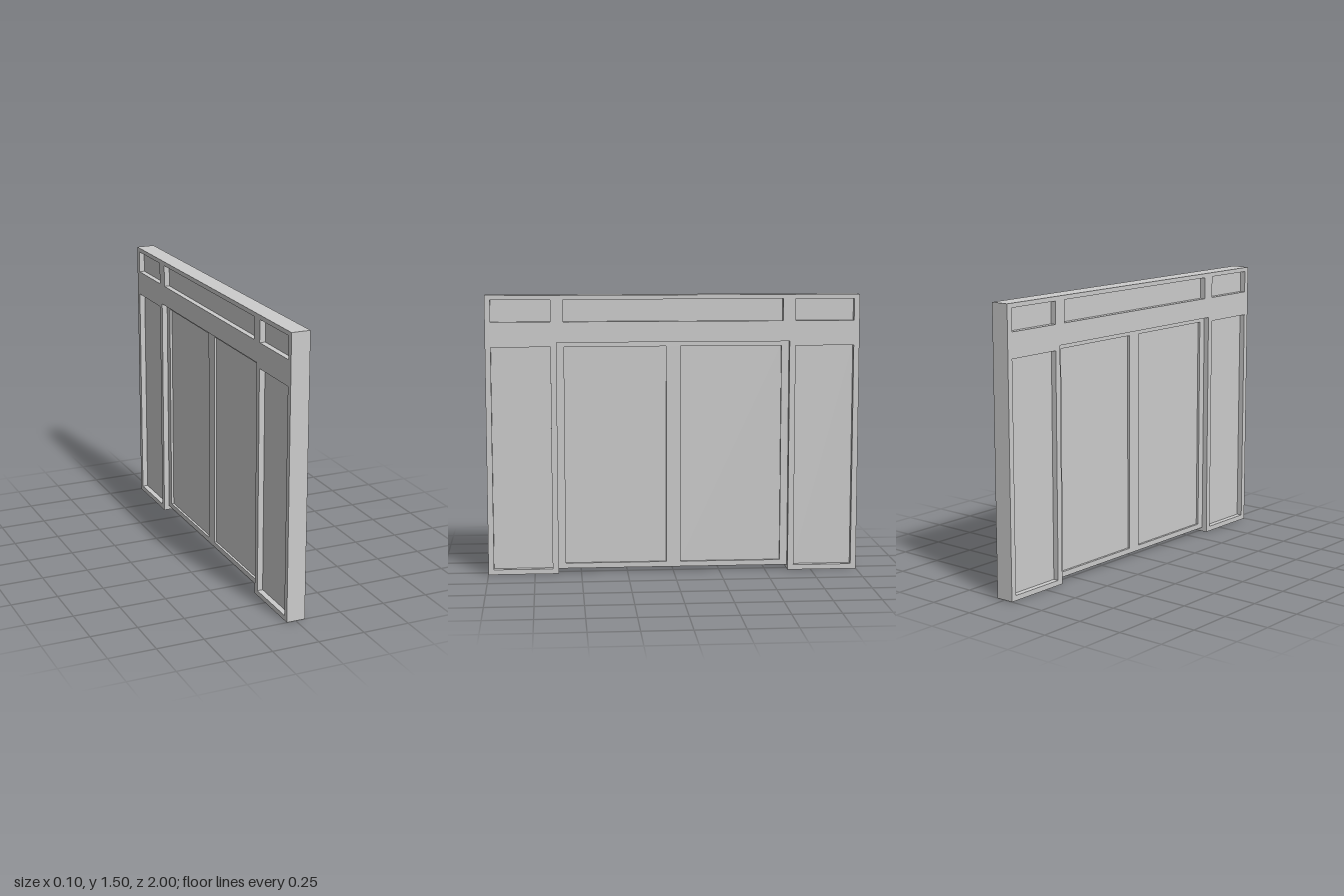
import * as THREE from 'three';

const material = new THREE.MeshStandardMaterial({ color: 0xcccccc });

// Rectangles are [z0, z1, y0, y1] in the plane of the wall.
const corners = ([z0, z1, y0, y1]) => [[z0, y0], [z1, y0], [z1, y1], [z0, y1]].map(([z, y]) => new THREE.Vector2(z, y));

// Slab of the given thickness, cut through by rectangular openings
function slab(name, outline, openings, thickness) {
  const shape = new THREE.Shape(outline);
  for (const r of openings) shape.holes.push(new THREE.Path(corners(r).reverse()));
  const geometry = new THREE.ExtrudeGeometry(shape, { depth: thickness, bevelEnabled: false });
  geometry.translate(0, 0, -thickness / 2).rotateY(-Math.PI / 2); // outline x becomes z
  const mesh = new THREE.Mesh(geometry, material);
  mesh.name = name;
  return mesh;
}

// Thin sheet filling an opening, recessed equally on both faces
function pane(name, [z0, z1, y0, y1], thickness) {
  const mesh = new THREE.Mesh(new THREE.BoxGeometry(thickness, y1 - y0, z1 - z0), material);
  mesh.position.set(0, (y0 + y1) / 2, (z0 + z1) / 2);
  mesh.name = name;
  return mesh;
}

export function createModel() {
  const group = new THREE.Group();
  group.name = 'doorwayWall';
  const mirror = ([z0, z1, y0, y1]) => [-z1, -z0, y0, y1];

  const sideWindow = [0.655, 0.97, 0.027, 1.227];
  const sideTransom = [0.655, 0.97, 1.36, 1.477];
  const windows = [
    ['sideWindow', sideWindow], ['sideWindow', mirror(sideWindow)],
    ['sideTransom', sideTransom], ['sideTransom', mirror(sideTransom)],
    ['centreTransom', [-0.587, 0.587, 1.36, 1.477]],
  ];

  // Main frame with the doorway notched out of its bottom edge
  const outline = [[-1, 0], [-0.623, 0], [-0.623, 1.25], [0.623, 1.25], [0.623, 0], [1, 0], [1, 1.5], [-1, 1.5]]
    .map(([z, y]) => new THREE.Vector2(z, y));
  group.add(slab('wallFrame', outline, windows.map(([, r]) => r), 0.1));
  for (const [name, r] of windows) group.add(pane(`${name}Pane`, r, 0.04));

  // Pair of doors, slightly clear of the floor
  const doorPane = [0.038, 0.583, 0.05, 1.225];
  const doorPanes = [doorPane, mirror(doorPane)];
  group.add(slab('doorFrame', corners([-0.623, 0.623, 0.022, 1.25]), doorPanes, 0.04));
  for (const r of doorPanes) group.add(pane('doorPane', r, 0.014));

  return group;
}
